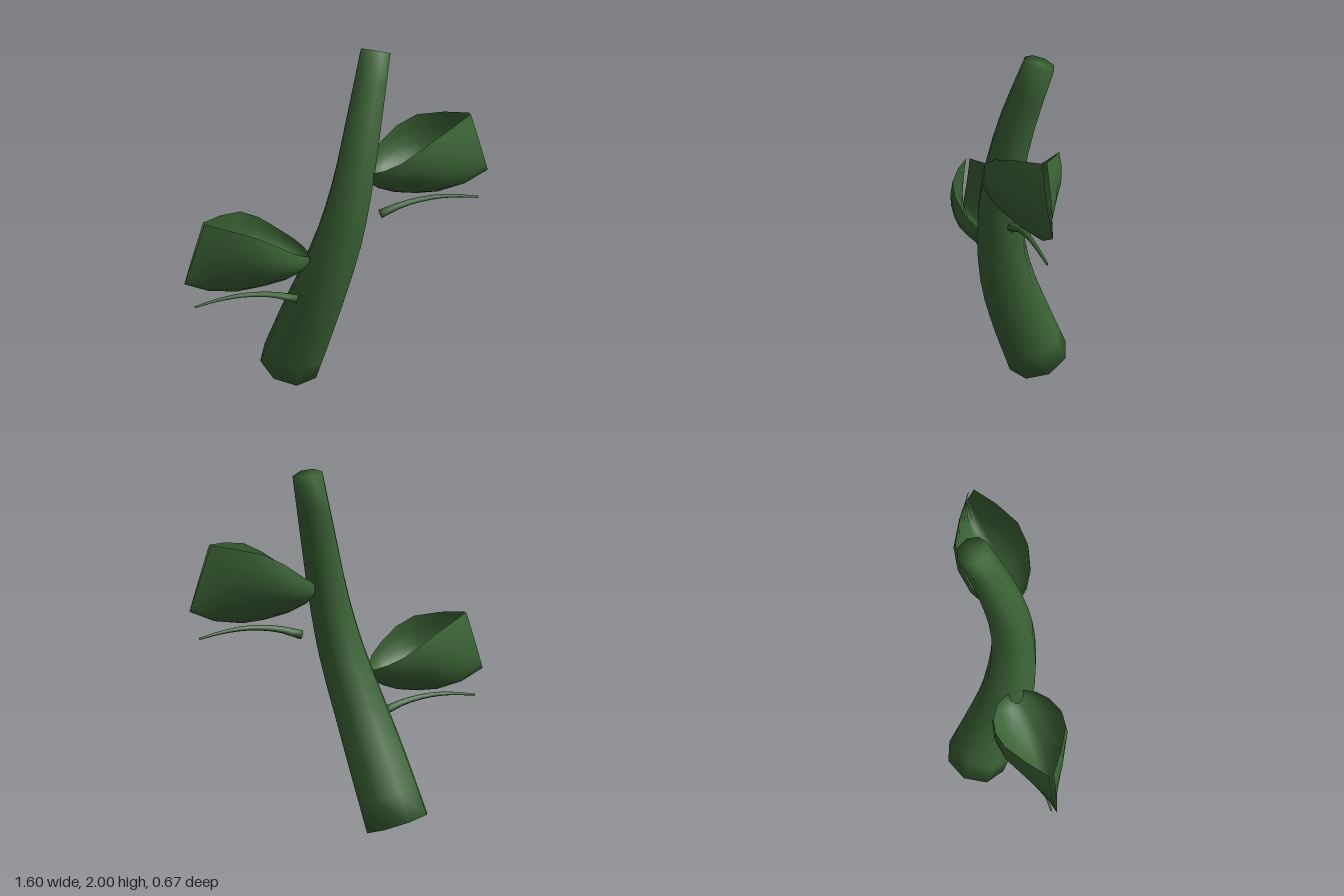
import * as THREE from 'three';

const leafGreen = new THREE.MeshStandardMaterial({ color: 0x3d6537, side: THREE.DoubleSide });
leafGreen.name = 'leafGreen';

function makeGeometry(positions, indices) {
  const geometry = new THREE.BufferGeometry();
  geometry.setAttribute('position', new THREE.Float32BufferAttribute(positions, 3));
  geometry.setIndex(indices);
  geometry.computeVertexNormals();
  return geometry;
}

// Samples evenly spaced key values with linear interpolation
function sample(values, t) {
  const f = t * (values.length - 1);
  const i = Math.min(Math.floor(f), values.length - 2);
  return THREE.MathUtils.lerp(values[i], values[i + 1], f - i);
}

// Capped tube of varying radius along a smooth path
function taperedTube(points, radii, segments, sides) {
  const curve = new THREE.CatmullRomCurve3(points.map((p) => new THREE.Vector3(...p)));
  const positions = [], indices = [];
  for (let i = 0; i <= segments; i++) {
    const t = i / segments;
    const center = curve.getPoint(t);
    const tangent = curve.getTangent(t);
    const x = new THREE.Vector3(0, 0, 1).projectOnPlane(tangent).normalize();
    const y = new THREE.Vector3().crossVectors(tangent, x);
    const r = sample(radii, t);
    for (let j = 0; j < sides; j++) {
      const a = ((j + 0.5) / sides) * Math.PI * 2;
      const p = center.clone().addScaledVector(x, r * Math.cos(a)).addScaledVector(y, r * Math.sin(a));
      positions.push(p.x, p.y, p.z);
    }
  }
  const start = (segments + 1) * sides;
  positions.push(...points[0], ...points[points.length - 1]);
  for (let j = 0; j < sides; j++) {
    const k = (j + 1) % sides;
    for (let i = 0; i < segments; i++) {
      const a = i * sides, b = a + sides;
      indices.push(a + j, a + k, b + j, a + k, b + k, b + j);
    }
    const last = segments * sides;
    indices.push(start, k, j, start + 1, last + j, last + k);
  }
  return makeGeometry(positions, indices);
}

// Cupped leaf: V-shaped sections whose rims nearly meet at an upturned tip
function cuppedLeaf() {
  // station, half width, keel height, rim height
  const stations = [
    [0, 0.012, 1.335, 1.36], [0.04, 0.07, 1.295, 1.385], [0.1, 0.118, 1.265, 1.41],
    [0.23, 0.168, 1.23, 1.46], [0.41, 0.194, 1.207, 1.535], [0.59, 0.178, 1.2, 1.59],
    [0.81, 0.1, 1.227, 1.618], [1, 0.012, 1.29, 1.63],
  ];
  const steps = 12, maxAngle = 1.9;
  const positions = [], indices = [];
  stations.forEach(([s, width, keel, rim], i) => {
    for (let j = 0; j <= steps; j++) {
      const v = (j / steps) * 2 - 1;
      const h = Math.abs(v) ** 1.25;
      const u = s * THREE.MathUtils.lerp(0.695, 0.575, h);
      const w = width * Math.sin(v * maxAngle);
      positions.push(
        0.15 + 0.935 * u + 0.354 * w,
        THREE.MathUtils.lerp(keel, rim, h),
        0.011 - 0.354 * u + 0.935 * w,
      );
      if (i < stations.length - 1 && j < steps) {
        const p = i * (steps + 1) + j, q = p + steps + 1;
        indices.push(p, q, p + 1, p + 1, q, q + 1);
      }
    }
  });
  return makeGeometry(positions, indices);
}

function addMesh(parent, name, geometry) {
  const mesh = new THREE.Mesh(geometry, leafGreen);
  mesh.name = name;
  parent.add(mesh);
}

export function createModel() {
  const model = new THREE.Group();
  model.name = 'leafyStem';

  // Bowed, tapering main stem
  addMesh(model, 'stem', taperedTube(
    [[-0.29, 0.075, -0.175], [-0.185, 0.4, -0.07], [-0.095, 0.67, 0.002], [0.01, 1, 0.037],
      [0.078, 1.3, 0.022], [0.13, 1.62, -0.047], [0.185, 1.975, -0.167]],
    [0.184, 0.17, 0.153, 0.132, 0.114, 0.1, 0.083], 14, 8));

  // Two matching sprigs, each a leaf over a thin stalk, on opposite sides
  const leaf = cuppedLeaf();
  const stalk = taperedTube(
    [[0.225, 1.106, -0.03], [0.35, 1.15, -0.07], [0.5, 1.17, -0.12], [0.63, 1.162, -0.165], [0.755, 1.138, -0.21]],
    [0.026, 0.018, 0.014, 0.01, 0.006], 10, 6);
  for (const side of ['left', 'right']) {
    const sprig = new THREE.Group();
    sprig.name = side + 'Sprig';
    addMesh(sprig, side + 'Leaf', leaf);
    addMesh(sprig, side + 'Stalk', stalk);
    if (side === 'right') {
      sprig.rotation.y = Math.PI;
      sprig.position.set(0, -0.475, 0.05);
    }
    model.add(sprig);
  }
  return model;
}
